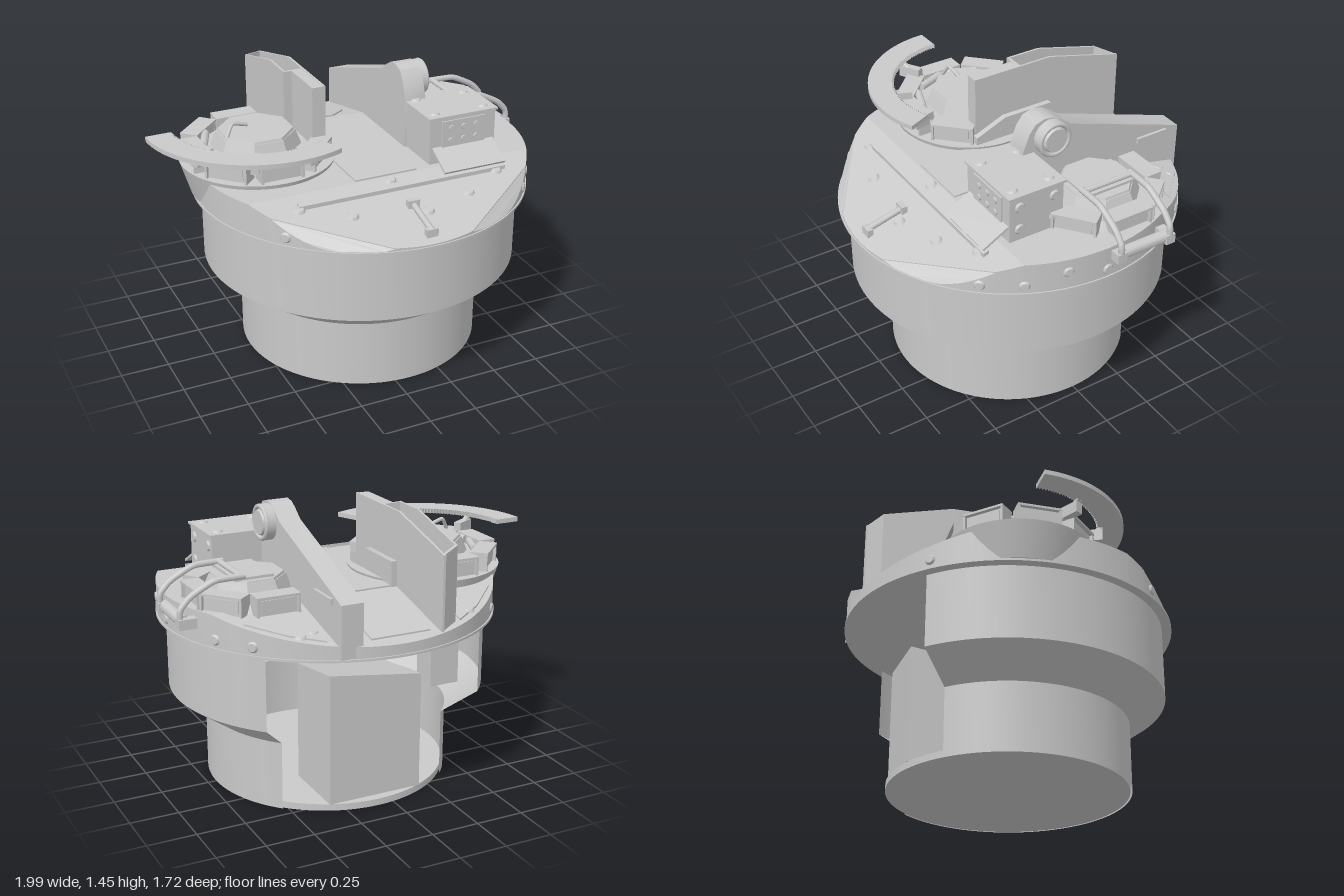
import * as THREE from 'three';
import { toCreasedNormals } from 'three/addons/utils/BufferGeometryUtils.js';

const CX = 0.08, R = 0.855, DEG = Math.PI / 180;
const grey = new THREE.MeshStandardMaterial({ color: 0xcacaca });
grey.name = 'armourGrey';
grey.side = THREE.DoubleSide;

// Height of the turret roof: flat middle, sloping front and rear
const roofY = (x, z) => z > 0.4 ? 1.04 - (z - 0.4) * 0.335 : z < -0.38 ? 1.04 - (-z - 0.38) * 0.23 : 1.04;

export function createModel() {
  const model = new THREE.Group();
  model.name = 'turret';

  const add = (name, geo, x = 0, y = 0, z = 0, ry = 0, rx = 0, rz = 0, parent = model) => {
    const m = new THREE.Mesh(geo, grey);
    m.name = name;
    m.position.set(x, y, z);
    m.rotation.set(rx, ry, rz, 'YXZ');
    parent.add(m);
    return m;
  };
  const crease = (g, a = 0.5) => toCreasedNormals(g, a);
  // Box given by its limits on each axis
  const block = (name, x0, x1, y0, y1, z0, z1) =>
    add(name, new THREE.BoxGeometry(x1 - x0, y1 - y0, z1 - z0), (x0 + x1) / 2, (y0 + y1) / 2, (z0 + z1) / 2);
  const cyl = (rt, rb, h, n = 32) => crease(new THREE.CylinderGeometry(rt, rb, h, n));
  // Upright prism over an [x, z] outline, with bottom and top heights by rule
  const prism = (name, pts, bottom, top) => {
    const g = new THREE.ExtrudeGeometry(new THREE.Shape(pts.map(([x, z]) => new THREE.Vector2(x, -z))),
      { depth: 1, bevelEnabled: false }).rotateX(-Math.PI / 2);
    const p = g.attributes.position;
    for (let i = 0; i < p.count; i++) {
      const x = p.getX(i), z = p.getZ(i);
      p.setY(i, p.getY(i) > 0.5 ? top(x, z) : bottom(x, z));
    }
    return add(name, crease(g, 0.2));
  };
  // Slab with a [z, y] side profile, running from x0 to x1
  const sideSlab = (name, pts, x0, x1) => add(name, crease(new THREE.ExtrudeGeometry(
    new THREE.Shape(pts.map(([z, y]) => new THREE.Vector2(z, y))),
    { depth: x1 - x0, bevelEnabled: false }).rotateY(-Math.PI / 2)), x1);
  const arc = (cx, cz, r, a, b, n) => Array.from({ length: n + 1 }, (_, i) => {
    const t = (a + (b - a) * i / n) * DEG;
    return [cx + r * Math.cos(t), cz + r * Math.sin(t)];
  });
  const tube = (name, pts, r) => add(name, new THREE.TubeGeometry(
    new THREE.CatmullRomCurve3(pts.map(p => new THREE.Vector3(...p)), false, 'catmullrom', 0.2), 16, r, 8));

  // Basket: open at the back
  const profile = [[0.625, 0], [0.625, 0.352], [0.812, 0.487], [0.812, 0.87]].map(p => new THREE.Vector2(...p));
  add('basketShell', crease(new THREE.LatheGeometry(profile, 96, Math.PI + 45.5 * DEG, 269 * DEG)), CX);
  add('basketFloor', cyl(0.615, 0.615, 0.035, 96), CX, 0.0176);
  prism('ammunitionBin', [[-0.17, -0.568], [0.33, -0.568], [0.33, -0.2], [-0.17, -0.2]], () => 0.035,
    (x, z) => 0.64 + (x + 0.17) * 0.14 - (z + 0.568) * 0.15);
  block('innerLocker', -0.46, -0.3, 0.5, 0.72, -0.44, -0.3);
  block('innerShelf', -0.5, -0.32, 0.62, 0.66, -0.3, 0);

  // Roof armour
  add('ringFlange', cyl(0.862, 0.862, 0.012, 96), CX, 0.874);
  const base = () => 0.878;
  prism('roofMiddle', [...arc(CX, 0, R, -26.4, 27.9, 20), ...arc(CX, 0, R, 152.1, 206.4, 20)], base, roofY);
  prism('roofRear', arc(CX, 0, R, 206.4, 333.6, 44), base, roofY);
  prism('roofFront', [...arc(CX, 0, R, 27.9, 36.7, 3), ...arc(CX, 0, R, 76, 104, 10),
    ...arc(CX, 0, R, 143.3, 152.1, 3)], base, roofY);
  for (const a of [36.7, 104]) {
    const mid = (a + 19.65) * DEG;
    prism('cheekFacet', arc(CX, 0, R, a, a + 39.3, 14), base, (x, z) => Math.max(0.882, roofY(x, z) -
      Math.max(0, (x - CX) * Math.cos(mid) + z * Math.sin(mid) - 0.8005)));
  }
  const plate = (name, pts, t = 0.008) => prism(name, pts, (x, z) => roofY(x, z) - 0.01, (x, z) => roofY(x, z) + t);
  plate('rearHatch', [[-0.085, -0.79], [0.225, -0.79], [0.225, -0.51], [0.13, -0.42], [0, -0.42], [-0.085, -0.51]]);
  for (const s of [-1, 1])
    plate('rearCornerPanel', [[CX + s * 0.35, -0.75], [CX + s * 0.35, -0.52], [CX + s * 0.66, -0.51], [CX + s * 0.5, -0.66]]);
  plate('roofPlate', [[-0.12, -0.37], [0.21, -0.37], [0.21, 0.39], [-0.12, 0.39]]);
  plate('frontRail', [[-0.46, 0.47], [0.65, 0.47], [0.65, 0.5], [-0.46, 0.5]], 0.02);

  // Bolts on the roof and around the wall
  const bolt = cyl(0.02, 0.03, 0.012, 16);
  for (const [x, z] of [[-0.46, 0.5], [0.05, 0.43], [0.6, 0.5], [-0.23, 0.6], [0.14, 0.66], [0.39, 0.6],
    [-0.36, -0.68], [-0.3, -0.62], [0.53, -0.68], [0.46, -0.66]])
    add('roofBolt', bolt, x, roofY(x, z) + 0.008, z, 0, z > 0.4 ? 0.32 : z < -0.38 ? -0.22 : 0);
  for (let i = 0; i < 26; i++) {
    const a = (i + 0.5) / 26 * Math.PI * 2, x = Math.sin(a), z = Math.cos(a);
    if (Math.abs(z) > 0.78 || (x < 0 && Math.abs(z) < 0.6)) continue;
    add('wallBolt', bolt, CX + x * 0.858, 0.92 + (Math.abs(z) < 0.55 ? (i % 2) * 0.05 : 0), z * 0.858, a, Math.PI / 2);
  }

  // Front latch
  tube('latchRod', [[0.08, 0.985, 0.6], [0.08, 0.93, 0.81]], 0.016);
  for (const z of [0.61, 0.8]) block('latchBracket', 0.05, 0.11, roofY(0, z) - 0.02, roofY(0, z) + 0.035, z - 0.015, z + 0.015);

  // Periscopes placed around a hatch at the listed angles
  const periscopes = (cx, cz, r, y, angles) => {
    for (const d of angles) {
      const g = new THREE.Group();
      g.name = 'periscope';
      g.position.set(cx + r * Math.sin(d * DEG), y, cz + r * Math.cos(d * DEG));
      g.rotation.y = d * DEG;
      add('housing', new THREE.BoxGeometry(0.2, 0.09, 0.07), 0, 0.045, 0, 0, 0, 0, g);
      add('hood', new THREE.BoxGeometry(0.22, 0.012, 0.095), 0, 0.09, 0.008, 0, 0, 0, g);
      for (const s of [-1, 1]) add('cheek', new THREE.BoxGeometry(0.012, 0.09, 0.09), s * 0.104, 0.045, 0.008, 0, 0, 0, g);
      add('window', new THREE.BoxGeometry(0.17, 0.06, 0.006), 0, 0.045, 0.037, 0, 0, 0, g);
      model.add(g);
    }
  };

  // Right-hand cupola with its bulged base
  const LX = -0.445, LZ = -0.09;
  add('cupolaBulge', cyl(0.395, 0.34, 0.18, 64), -0.44, 0.97, LZ);
  add('cupolaCollar', cyl(0.27, 0.3, 0.06, 48), LX, 1.08, LZ);
  periscopes(LX, LZ, 0.31, 1.06, [0, -45, -90, -135, 180, 45]);
  const octLid = (name, x, y, z, r, h) => {
    add(name, crease(new THREE.CylinderGeometry(r * 0.84, r, h, 8), 0.2), x, y + h / 2, z, Math.PI / 8);
    add(name + 'Top', crease(new THREE.CylinderGeometry(r * 0.8, r * 0.82, 0.012, 8), 0.2), x, y + h + 0.006, z, Math.PI / 8);
  };
  octLid('cupolaLid', LX, 1.09, LZ, 0.235, 0.095);
  tube('lidHandle', [[-0.62, 1.19, -0.03], [-0.58, 1.255, -0.05], [-0.5, 1.235, -0.06]], 0.01);
  for (const d of [-20, -68, -112])
    add('hingePin', cyl(0.02, 0.02, 0.16, 12), LX + 0.255 * Math.sin(d * DEG), 1.135, LZ + 0.255 * Math.cos(d * DEG), d * DEG, 0, Math.PI / 2);

  // Toothed weapon rail and its supports
  const teeth = arc(-0.425, -0.135, 0.44, 66, 179, 112).map(([x, z], i) => {
    const k = i % 2 ? 1.03 : 1;
    return [-0.425 + (x + 0.425) * k, -0.135 + (z + 0.135) * k];
  });
  prism('weaponRail', [...arc(-0.425, -0.135, 0.575, 179, 66, 40), ...teeth], () => 1.21, () => 1.234);
  for (const d of [75, 112, 150]) {
    const c = Math.cos(d * DEG), s = Math.sin(d * DEG);
    for (const w of [-0.06, 0.06])
      tube('railStrut', [[-0.425 + 0.34 * c - w * s, 1.08, -0.135 + 0.34 * s + w * c], [-0.425 + 0.38 * c, 1.16, -0.135 + 0.38 * s],
        [-0.425 + 0.47 * c, 1.21, -0.135 + 0.47 * s]], 0.014);
    add('railBracket', new THREE.BoxGeometry(0.12, 0.06, 0.04), -0.425 + 0.41 * c, 1.165, -0.135 + 0.41 * s, -d * DEG);
  }

  // Left-hand cupola
  const RX = 0.58, RZ = -0.18;
  add('hatchCollar', cyl(0.25, 0.28, 0.05, 48), RX, 1.055, RZ);
  periscopes(0.555, RZ, 0.27, 1.03, [180, 130, 90, 38]);
  octLid('hatchLid', RX, 1.07, RZ, 0.22, 0.08);
  block('lidRib', 0.5, 0.7, 1.16, 1.175, -0.32, -0.04);

  // Side carrying frame over the left-hand cupola
  for (const z of [-0.32, -0.04]) {
    tube('frameArm', [[0.65, 1.185, z], [0.8, 1.18, z], [0.92, 1.12, z], [0.975, 1.06, z], [0.975, 0.99, z]], 0.016);
    block('frameFoot', 0.9, 0.99, 0.97, 1.02, z - 0.025, z + 0.025);
  }
  add('frameRoller', cyl(0.03, 0.03, 0.26, 20), 0.955, 1.0, -0.18, 0, Math.PI / 2);
  add('frameBar', cyl(0.014, 0.014, 0.28, 10), 0.67, 1.185, -0.18, 0, Math.PI / 2);

  // Right-hand gun cradle wall: solid nose, hollow behind, angled at the rear
  sideSlab('cradleInnerWall', [[0.06, 1.0], [0.06, 1.42], [-0.39, 1.42], [-0.82, 1.31], [-0.82, 0.89]], -0.142, -0.13);
  sideSlab('cradleOuterWall', [[-0.2, 1.0], [-0.2, 1.42], [-0.39, 1.42], [-0.75, 1.328], [-0.75, 0.9]], -0.245, -0.233);
  block('cradleNose', -0.2, -0.142, 1, 1.418, -0.2, 0.06);
  block('cradleBulkhead', -0.245, -0.142, 1, 1.418, -0.215, -0.2);
  prism('cradleRear', [[-0.245, -0.75], [-0.245, -0.735], [-0.13, -0.805], [-0.13, -0.82]], () => 0.89,
    (x, z) => 1.42 + (z + 0.39) * 0.256);
  sideSlab('cradleFoot', [[-0.38, 1.03], [-0.38, 1.17], [-0.1, 1.17], [0.07, 1.1], [0.07, 1.03]], -0.14, -0.1);

  // Left-hand gun cradle wall, rounded at the pivot and falling to the rear
  sideSlab('cradleCasing', [[0.12, 1.03], [0.12, 1.3], [0.085, 1.39], [0.05, 1.435], [0, 1.45], [-0.05, 1.443],
    [-0.09, 1.42], [-0.15, 1.375], [-0.82, 1.145], [-0.82, 0.885]], 0.282, 0.395);
  block('casingStep', 0.39, 0.41, 1.125, 1.155, -0.74, -0.56);
  add('pivotDrum', cyl(0.09, 0.09, 0.06, 40), 0.41, 1.35, -0.03, 0, 0, Math.PI / 2);
  add('pivotRim', new THREE.TorusGeometry(0.08, 0.012, 8, 40), 0.44, 1.35, -0.03, Math.PI / 2);
  add('pivotCap', cyl(0.06, 0.068, 0.02, 40), 0.445, 1.35, -0.03, 0, 0, -Math.PI / 2);

  // Sight box with its front panel and open flap
  block('sightBox', 0.295, 0.66, 1.03, 1.28, 0.07, 0.365);
  block('sightRoof', 0.285, 0.67, 1.275, 1.287, 0.06, 0.375);
  block('sightPanel', 0.36, 0.6, 1.12, 1.26, 0.364, 0.373);
  for (let i = 0; i < 3; i++) for (const y of [1.155, 1.22])
    add('panelKnob', cyl(0.016, 0.016, 0.012, 12), 0.41 + i * 0.07, y, 0.376, 0, Math.PI / 2);
  for (const [x, z] of [[0.34, 0.12], [0.61, 0.12], [0.34, 0.32], [0.61, 0.32]]) add('sightBolt', bolt, x, 1.29, z);
  for (const [y, z] of [[1.1, 0.12], [1.22, 0.12], [1.1, 0.31], [1.22, 0.31]]) add('sightBolt', bolt, 0.663, y, z, 0, 0, -Math.PI / 2);
  add('sightFlap', new THREE.BoxGeometry(0.34, 0.012, 0.16), 0.48, 1.085, 0.43, 0, 0.5);
  return model;
}
